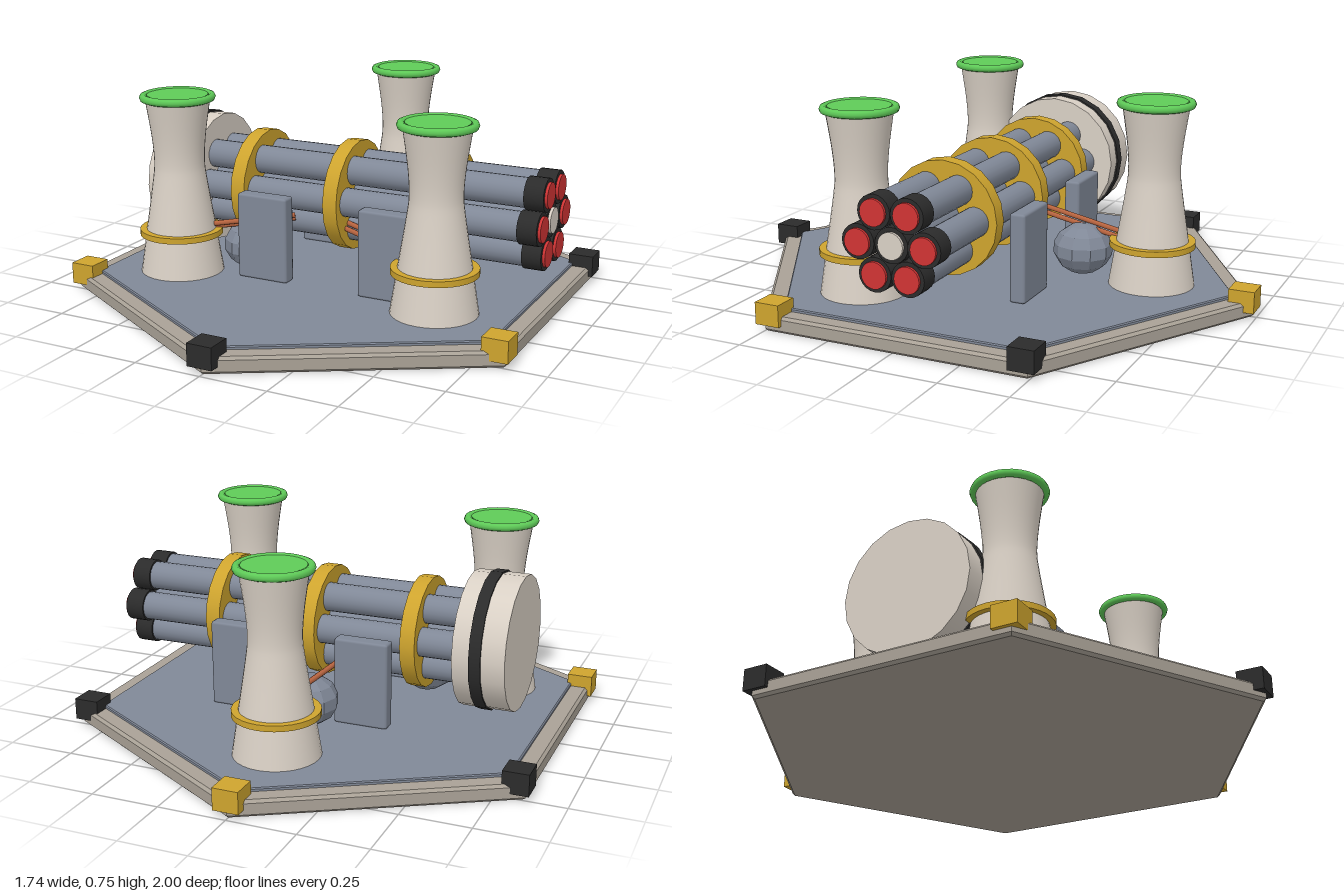
import * as THREE from 'three';
import { RoundedBoxGeometry } from 'three/addons/geometries/RoundedBoxGeometry.js';

const paint = (name, color) => {
  const m = new THREE.MeshStandardMaterial({ color });
  m.name = name;
  return m;
};

export function createModel() {
  const model = new THREE.Group();
  model.name = 'turbineStation';
  const stone = paint('warm grey', 0xa9a196);
  const hull = paint('light beige', 0xd9d0c5);
  const steel = paint('blue steel', 0x808897);
  const gold = paint('gold', 0xcea42e);
  const black = paint('charcoal', 0x2b2b2b);
  const green = paint('green', 0x5fcb58);
  const red = paint('red', 0xd03434);
  const copper = paint('copper', 0xb8643f);
  const flatSteel = steel.clone();
  flatSteel.flatShading = true;

  const add = (parent, name, geometry, material, x = 0, y = 0, z = 0) => {
    const mesh = new THREE.Mesh(geometry, material);
    mesh.name = name;
    mesh.position.set(x, y, z);
    parent.add(mesh);
    return mesh;
  };

  // Hexagonal prism with its points on the z axis and a small bevel
  const hexPlate = (name, radius, y0, y1, bevel, material) => {
    const r = radius - bevel / Math.cos(Math.PI / 6);
    const shape = new THREE.Shape();
    for (let i = 0; i < 6; i++) {
      const a = Math.PI / 2 + i * Math.PI / 3;
      shape[i ? 'lineTo' : 'moveTo'](r * Math.cos(a), r * Math.sin(a));
    }
    shape.closePath();
    const g = new THREE.ExtrudeGeometry(shape, {
      depth: y1 - y0 - 2 * bevel, bevelEnabled: true,
      bevelThickness: bevel, bevelSize: bevel, bevelSegments: 1,
    });
    g.rotateX(-Math.PI / 2);
    add(model, name, g, material, 0, y0 + bevel, 0);
  };
  hexPlate('baseSlab', 0.99, 0, 0.06, 0.01, stone);
  hexPlate('deck', 0.915, 0.05, 0.072, 0.004, steel);

  // Corner blocks, alternating in colour
  for (let i = 0; i < 6; i++) {
    const a = Math.PI / 2 + i * Math.PI / 3;
    add(model, 'cornerBlock', new THREE.BoxGeometry(0.094, 0.08, 0.094), i % 2 ? gold : black,
      0.953 * Math.cos(a), 0.067, 0.953 * Math.sin(a));
  }

  // Flared towers with a gold collar and a green rim and cap
  const profile = new THREE.SplineCurve([
    [0.157, 0.07], [0.132, 0.23], [0.102, 0.42], [0.094, 0.5], [0.101, 0.6], [0.12, 0.73],
  ].map(([r, y]) => new THREE.Vector2(r, y))).getPoints(20);
  const towerGeometry = new THREE.LatheGeometry(profile, 32);
  for (const [x, z] of [[0, -0.605], [-0.52, 0.3], [0.52, 0.3]]) {
    const tower = new THREE.Group();
    tower.name = 'tower';
    tower.position.set(x, 0, z);
    model.add(tower);
    add(tower, 'towerBody', towerGeometry, hull);
    add(tower, 'towerCollar', new THREE.CylinderGeometry(0.156, 0.156, 0.022, 32), gold, 0, 0.227, 0);
    const rim = add(tower, 'towerRim', new THREE.TorusGeometry(0.126, 0.015, 8, 32), green, 0, 0.74, 0);
    rim.rotation.x = Math.PI / 2;
    add(tower, 'towerLip', new THREE.CylinderGeometry(0.122, 0.12, 0.012, 32), hull, 0, 0.739, 0);
    add(tower, 'towerCap', new THREE.CylinderGeometry(0.113, 0.113, 0.008, 32), green, 0, 0.746, 0);
  }

  // Barrel cluster, lying along x
  const cluster = new THREE.Group();
  cluster.name = 'barrelCluster';
  cluster.position.y = 0.368;
  model.add(cluster);
  const rod = (name, radius, x0, x1, material, y = 0, z = 0, sides = 20) => {
    const g = new THREE.CylinderGeometry(radius, radius, x1 - x0, sides);
    g.rotateZ(-Math.PI / 2);
    add(cluster, name, g, material, (x0 + x1) / 2, y, z);
  };
  for (let i = 0; i < 6; i++) {
    const a = i * Math.PI / 3;
    const y = 0.123 * Math.sin(a), z = 0.123 * Math.cos(a);
    rod('barrel', 0.054, -0.52, 0.78, steel, y, z);
    rod('muzzle', 0.061, 0.768, 0.84, black, y, z);
    rod('muzzleCore', 0.047, 0.835, 0.85, red, y, z);
  }
  rod('centreShaft', 0.068, -0.52, 0.78, steel);
  rod('centreMuzzle', 0.062, 0.77, 0.835, black);
  rod('centreCap', 0.047, 0.83, 0.845, hull);
  for (const x of [-0.328, 0.061, 0.45]) rod('barrelBand', 0.208, x - 0.028, x + 0.028, gold);
  rod('rearDrum', 0.251, -0.7, -0.508, hull);
  rod('rearDrumBand', 0.257, -0.614, -0.571, black);

  // Support plates on both sides of the cluster
  for (const x of [-0.18, 0.315]) {
    for (const z of [-0.255, 0.255]) {
      add(model, 'supportPlate', new RoundedBoxGeometry(0.205, 0.325, 0.06, 1, 0.01), steel, x, 0.234, z);
    }
  }

  // Faceted tanks between the towers and the cluster
  for (const [x, z] of [[0, -0.335], [-0.285, 0.165], [0.285, 0.165]]) {
    const tank = add(model, 'tank', new THREE.SphereGeometry(0.112, 10, 7), flatSteel, x, 0.17, z);
    tank.scale.y = 0.85;
  }

  // Paired cables from the towers into the cluster
  const cables = [
    [[0.002, 0.24, -0.49], [-0.085, 0.29, -0.08]],
    [[-0.42, 0.245, 0.255], [-0.12, 0.287, 0.13]],
    [[0.43, 0.245, 0.25], [0, 0.283, 0.08]],
  ];
  for (const [from, to] of cables) {
    const a = new THREE.Vector3(...from), b = new THREE.Vector3(...to);
    const side = new THREE.Vector3().subVectors(b, a).cross(new THREE.Vector3(0, 1, 0)).setLength(0.009);
    for (const s of [-1, 1]) {
      const shift = side.clone().multiplyScalar(s).setY(s * 0.008);
      const line = new THREE.LineCurve3(a.clone().add(shift), b.clone().add(shift));
      add(model, 'cable', new THREE.TubeGeometry(line, 1, 0.01, 8), copper);
    }
  }
  return model;
}
